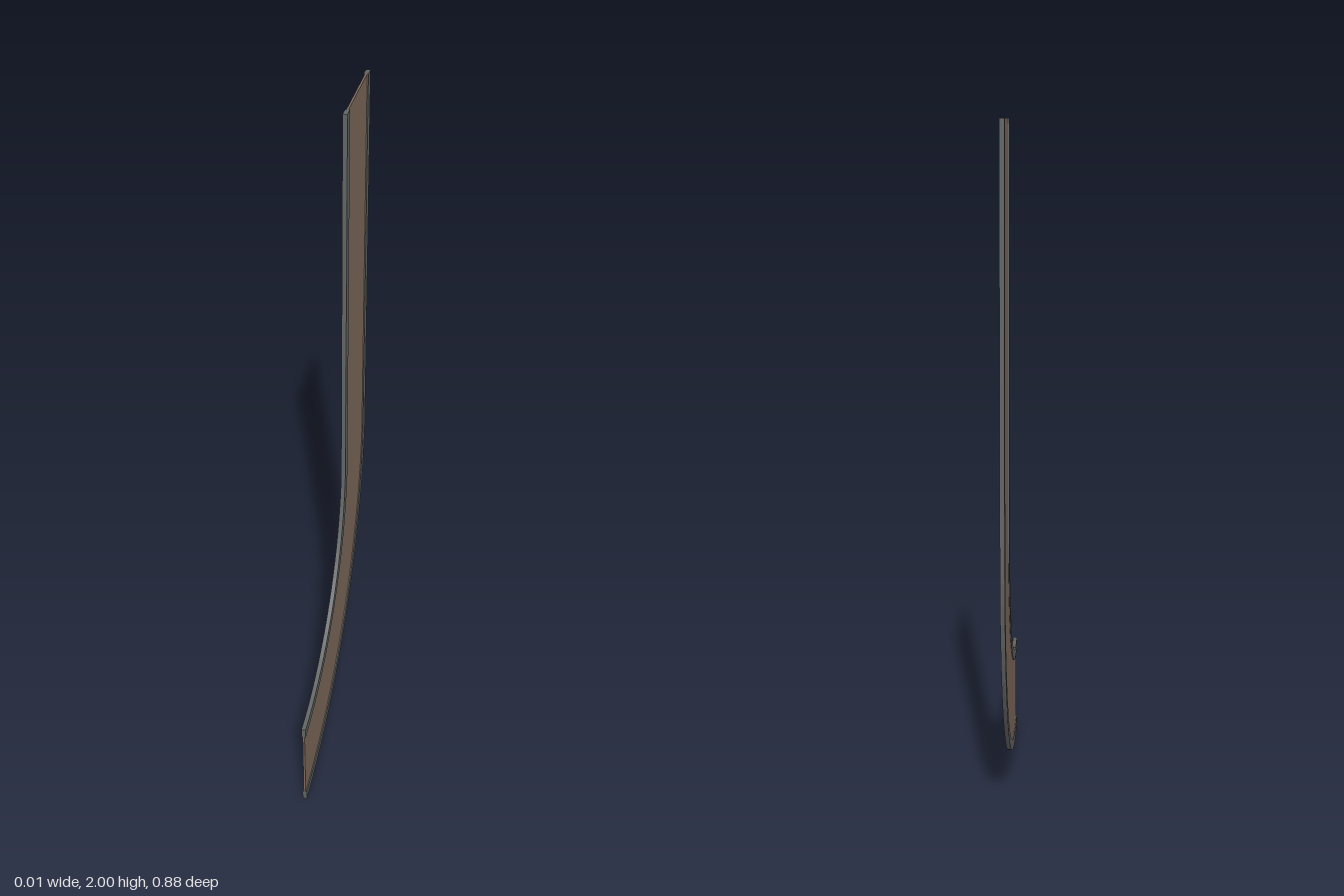
import * as THREE from 'three';

// Curved path standing on edge: a quarter bend followed by a straight run
const CENTRE_Z = 0.4385, CENTRE_Y = 0.883;
const R_IN = 0.567, R_OUT = 0.879, CURB = 0.032;
const SEAM = THREE.MathUtils.degToRad(85.4);
const TOP = 2, SEGMENTS = 20;

// Line along the path at a given radius; shape x is -z
function edge(radius) {
  const points = [];
  for (let i = 0; i <= SEGMENTS; i++) {
    const a = (SEAM * i) / SEGMENTS;
    points.push(new THREE.Vector2(radius * Math.sin(a) - CENTRE_Z, CENTRE_Y - radius * Math.cos(a)));
  }
  points.push(new THREE.Vector2(points[SEGMENTS].x, TOP));
  return points;
}

// Flat band between two radii, centred on x = 0
function band(name, inner, outer, thickness, material) {
  const shape = new THREE.Shape([...edge(outer), ...edge(inner).reverse()]);
  const geometry = new THREE.ExtrudeGeometry(shape, { depth: thickness, bevelEnabled: false });
  geometry.translate(0, 0, -thickness / 2);
  geometry.rotateY(Math.PI / 2);
  const mesh = new THREE.Mesh(geometry, material);
  mesh.name = name;
  return mesh;
}

export function createModel() {
  const brown = new THREE.MeshStandardMaterial({ color: 0x806a5d });
  brown.name = 'brown surface';
  const grey = new THREE.MeshStandardMaterial({ color: 0x626363 });
  grey.name = 'grey curb';

  const group = new THREE.Group();
  group.name = 'curvedPath';
  group.add(
    band('pathSurface', R_IN + CURB, R_OUT - CURB, 0.006, brown),
    band('innerCurb', R_IN, R_IN + CURB, 0.013, grey),
    band('outerCurb', R_OUT - CURB, R_OUT, 0.013, grey)
  );
  return group;
}
